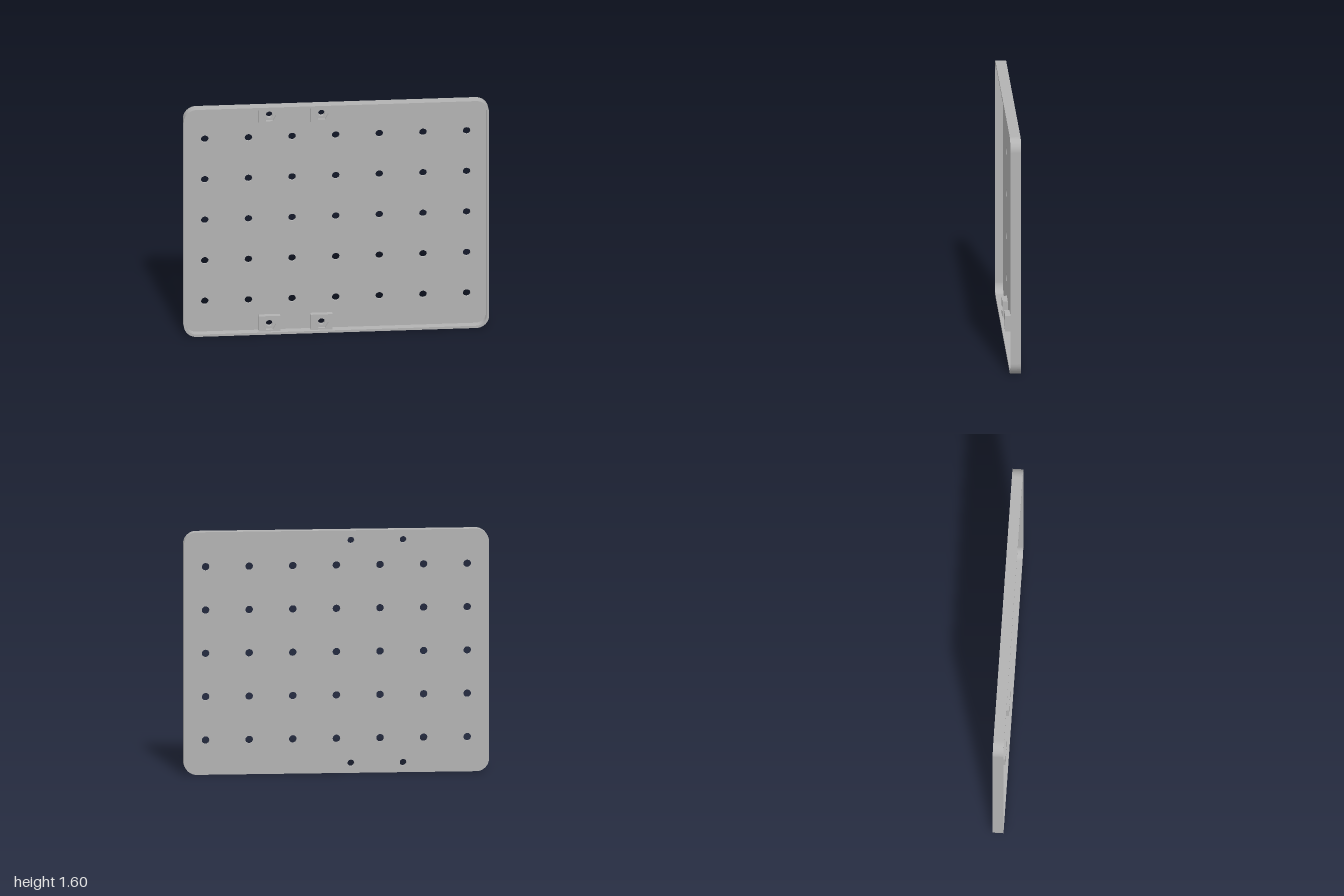
import * as THREE from 'three';

const W = 2, H = 1.6, MID = H / 2;
const BACK = -0.035, FLOOR = -0.018, FRONT = 0.035, WALL = 0.016;
const BOSS_FLOOR = -0.003, BOSS_TOP = 0.017;

// Rounded rectangle outline centred on (0, MID)
function roundedRect(path, w, h, r) {
  const x = w / 2, b = MID - h / 2, t = MID + h / 2;
  path.moveTo(-x + r, b);
  path.lineTo(x - r, b);
  path.absarc(x - r, b + r, r, -Math.PI / 2, 0, false);
  path.lineTo(x, t - r);
  path.absarc(x - r, t - r, r, 0, Math.PI / 2, false);
  path.lineTo(-x + r, t);
  path.absarc(-x + r, t - r, r, Math.PI / 2, Math.PI, false);
  path.lineTo(-x, b + r);
  path.absarc(-x + r, b + r, r, Math.PI, Math.PI * 1.5, false);
  return path;
}

// Regular polygon hole: many sides for a round hole, six for a nut pocket
function polygonHole(x, y, r, sides) {
  const pts = [];
  for (let i = 0; i < sides; i++) {
    const a = (i / sides) * Math.PI * 2;
    pts.push(new THREE.Vector2(x + r * Math.cos(a), y + r * Math.sin(a)));
  }
  return new THREE.Path(pts);
}

function rectangle(x0, x1, y0, y1) {
  return new THREE.Shape([[x0, y0], [x1, y0], [x1, y1], [x0, y1]].map(p => new THREE.Vector2(...p)));
}

export function createModel() {
  const model = new THREE.Group();
  model.name = 'perforatedPanel';
  const grey = new THREE.MeshStandardMaterial({ color: 0xb2b2b2 });
  grey.name = 'grey';

  const extrude = (name, shape, z0, z1) => {
    const geo = new THREE.ExtrudeGeometry(shape, { depth: z1 - z0, bevelEnabled: false, curveSegments: 12 });
    geo.translate(0, 0, z0);
    const mesh = new THREE.Mesh(geo, grey);
    mesh.name = name;
    model.add(mesh);
  };

  const bosses = [];
  for (const x of [-0.437, -0.095]) for (const side of [-1, 1]) bosses.push({ x, side, y: MID + side * 0.735 });

  // Back plate with a 7 by 5 grid of holes and the four screw holes
  const plate = roundedRect(new THREE.Shape(), W, H, 0.085);
  for (let i = -3; i <= 3; i++) {
    for (let j = -2; j <= 2; j++) plate.holes.push(polygonHole(i * 0.2857, MID + j * 0.2857, 0.025, 24));
  }
  for (const b of bosses) plate.holes.push(polygonHole(b.x, b.y, 0.022, 24));
  extrude('backPlate', plate, BACK, FLOOR);

  // Raised rim around the edge
  const rim = roundedRect(new THREE.Shape(), W, H, 0.085);
  rim.holes.push(roundedRect(new THREE.Path(), W - 2 * WALL, H - 2 * WALL, 0.085 - WALL));
  extrude('rim', rim, FLOOR, FRONT);

  // Screw bosses: a drilled base below a hexagonal nut pocket
  for (const { x, side, y } of bosses) {
    const inner = MID + side * 0.677, outer = MID + side * (MID - WALL);
    const outline = () => rectangle(x - 0.071, x + 0.071, Math.min(inner, outer), Math.max(inner, outer));
    const base = outline();
    base.holes.push(polygonHole(x, y, 0.022, 24));
    extrude('bossBase', base, FLOOR, BOSS_FLOOR);
    const pocket = outline();
    pocket.holes.push(polygonHole(x, y, 0.044, 6));
    extrude('bossNutPocket', pocket, BOSS_FLOOR, BOSS_TOP);
  }

  return model;
}
